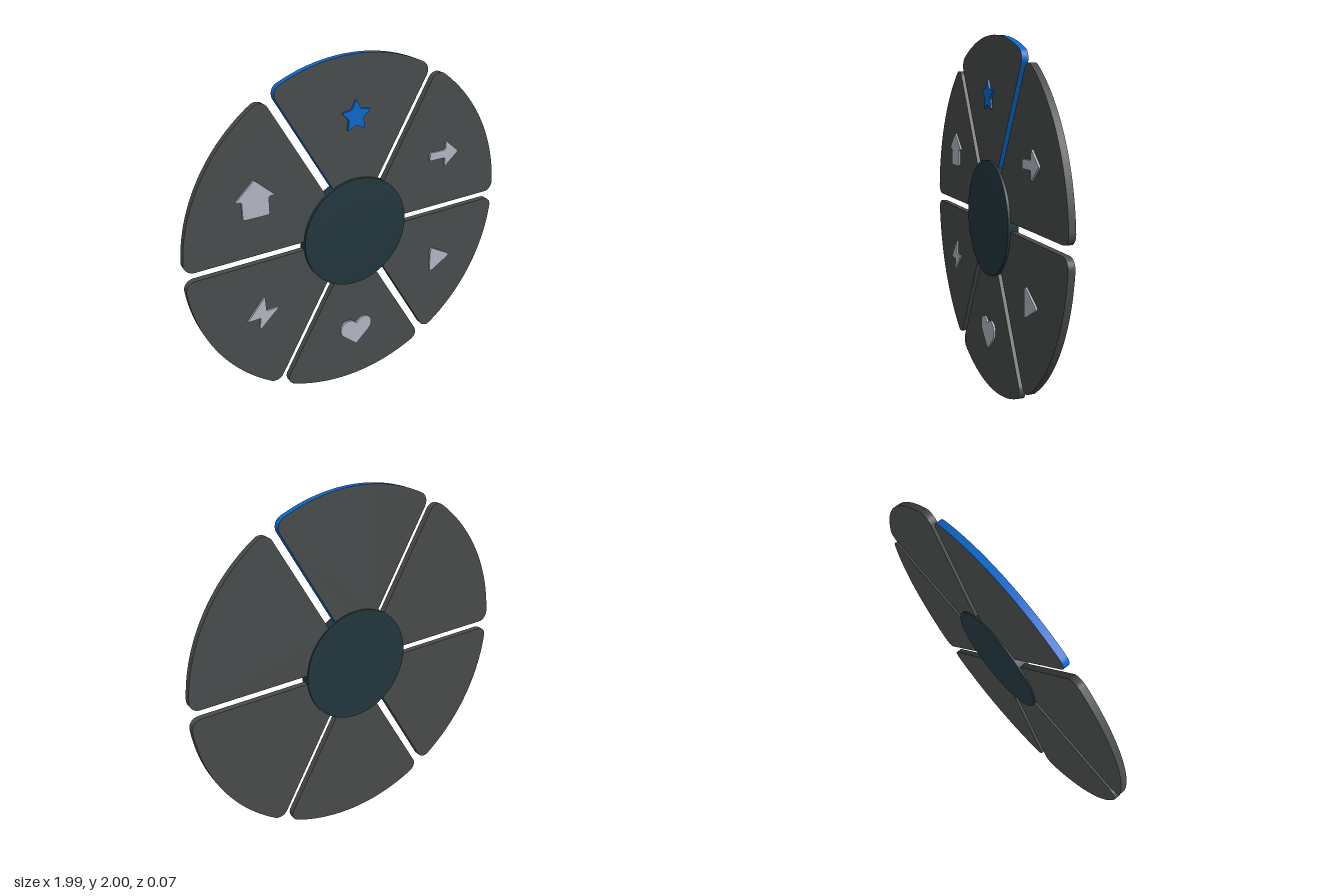
import * as THREE from 'three';

const mat = (name, color) => {
  const m = new THREE.MeshStandardMaterial({ color });
  m.name = name;
  return m;
};

// Closed polygon with softened corners
function roundedPolygon(points, radius) {
  const shape = new THREE.Shape();
  const pts = points.map(([x, y]) => new THREE.Vector2(x, y));
  pts.forEach((p, i) => {
    const prev = pts[(i + pts.length - 1) % pts.length];
    const next = pts[(i + 1) % pts.length];
    const toward = (q) => p.clone().lerp(q, Math.min(0.45, radius / p.distanceTo(q)));
    const a = toward(prev), b = toward(next);
    if (i === 0) shape.moveTo(a.x, a.y); else shape.lineTo(a.x, a.y);
    shape.quadraticCurveTo(p.x, p.y, b.x, b.y);
  });
  shape.closePath();
  return shape;
}

// Ring sector pointing up, with parallel gaps and filleted outer corners
function sectorShape(outer, inner, halfGap, fillet) {
  const side = Math.PI / 3; // direction of the right-hand edge
  const t = Math.sqrt((outer - fillet) ** 2 - (halfGap + fillet) ** 2);
  const centreAngle = side + Math.atan2(halfGap + fillet, t);
  const cx = (outer - fillet) * Math.cos(centreAngle);
  const cy = (outer - fillet) * Math.sin(centreAngle);
  const innerAngle = side + Math.asin(halfGap / inner);
  const shape = new THREE.Shape();
  shape.moveTo(inner * Math.cos(innerAngle), inner * Math.sin(innerAngle));
  shape.absarc(cx, cy, fillet, side - Math.PI / 2, centreAngle, false);
  shape.absarc(0, 0, outer, centreAngle, Math.PI - centreAngle, false);
  shape.absarc(-cx, cy, fillet, Math.PI - centreAngle, Math.PI * 1.5 - side, false);
  shape.absarc(0, 0, inner, Math.PI - innerAngle, innerAngle, true);
  return shape;
}

function heartShape() {
  const s = new THREE.Shape();
  s.moveTo(0, 0.232);
  s.lineTo(0.088, 0.312);
  s.bezierCurveTo(0.125, 0.35, 0.105, 0.412, 0.055, 0.412);
  s.quadraticCurveTo(0.02, 0.41, 0, 0.382);
  s.quadraticCurveTo(-0.02, 0.41, -0.055, 0.412);
  s.bezierCurveTo(-0.105, 0.412, -0.125, 0.35, -0.088, 0.312);
  s.closePath();
  return s;
}

export function createModel() {
  const group = new THREE.Group();
  group.name = 'radialMenu';
  const plateGrey = mat('plateGrey', 0x484b4b);
  const hubTeal = mat('hubTeal', 0x21353c);
  const accentBlue = mat('accentBlue', 0x0c66c8);
  const iconGrey = mat('iconGrey', 0xb1b4c0);

  const add = (name, geometry, material) => {
    const mesh = new THREE.Mesh(geometry, material);
    mesh.name = name;
    group.add(mesh);
    return mesh;
  };

  // Six sector plates; the top one has a blue rim
  const plate = new THREE.ExtrudeGeometry(sectorShape(1, 0.3, 0.025, 0.055), {
    depth: 0.036, bevelEnabled: false, curveSegments: 20,
  });
  const names = ['top', 'upperRight', 'lowerRight', 'bottom', 'lowerLeft', 'upperLeft'];
  names.forEach((n, i) => {
    const mesh = add(n + 'Plate', plate, [plateGrey, i === 0 ? accentBlue : plateGrey]);
    mesh.position.set(0, 1, -0.026);
    mesh.rotation.z = -i * Math.PI / 3;
  });

  // Central hub: flat back, gently domed front
  const profile = [[0, -0.034], [0.327, -0.034], [0.327, -0.034], [0.327, 0.025], [0.327, 0.025],
    [0.27, 0.0295], [0.18, 0.032], [0.09, 0.0335], [0, 0.034]].map(([r, y]) => new THREE.Vector2(r, y));
  const hub = add('hub', new THREE.LatheGeometry(profile, 64), hubTeal);
  hub.rotation.x = Math.PI / 2;
  hub.position.y = 1;

  // Raised icons
  const star = [];
  for (let i = 0; i < 10; i++) {
    const r = i % 2 ? 0.046 : 0.092;
    const a = Math.PI / 2 + i * Math.PI / 5;
    star.push([r * Math.cos(a), 1.678 + r * Math.sin(a)]);
  }
  const house = [[-0.594, 1.452], [-0.705, 1.35], [-0.668, 1.35], [-0.668, 1.247],
    [-0.52, 1.247], [-0.52, 1.35], [-0.483, 1.35]];
  const arrow = [[0.495, 1.324], [0.604, 1.324], [0.604, 1.268], [0.698, 1.348],
    [0.604, 1.428], [0.604, 1.372], [0.495, 1.372]];
  const play = [[0.535, 0.57], [0.69, 0.658], [0.535, 0.746]];
  const bolt = [[-0.578, 0.765], [-0.688, 0.637], [-0.61, 0.637], [-0.622, 0.56],
    [-0.498, 0.673], [-0.575, 0.673]];
  const icons = [
    ['starIcon', roundedPolygon(star, 0.012), accentBlue],
    ['houseIcon', roundedPolygon(house, 0.014), iconGrey],
    ['arrowIcon', roundedPolygon(arrow, 0.012), iconGrey],
    ['playIcon', roundedPolygon(play, 0.03), iconGrey],
    ['boltIcon', roundedPolygon(bolt, 0.006), iconGrey],
    ['heartIcon', heartShape(), iconGrey],
  ];
  for (const [name, shape, material] of icons) {
    const geometry = new THREE.ExtrudeGeometry(shape, { depth: 0.017, bevelEnabled: false, curveSegments: 6 });
    add(name, geometry, material).position.z = 0.004;
  }
  return group;
}
